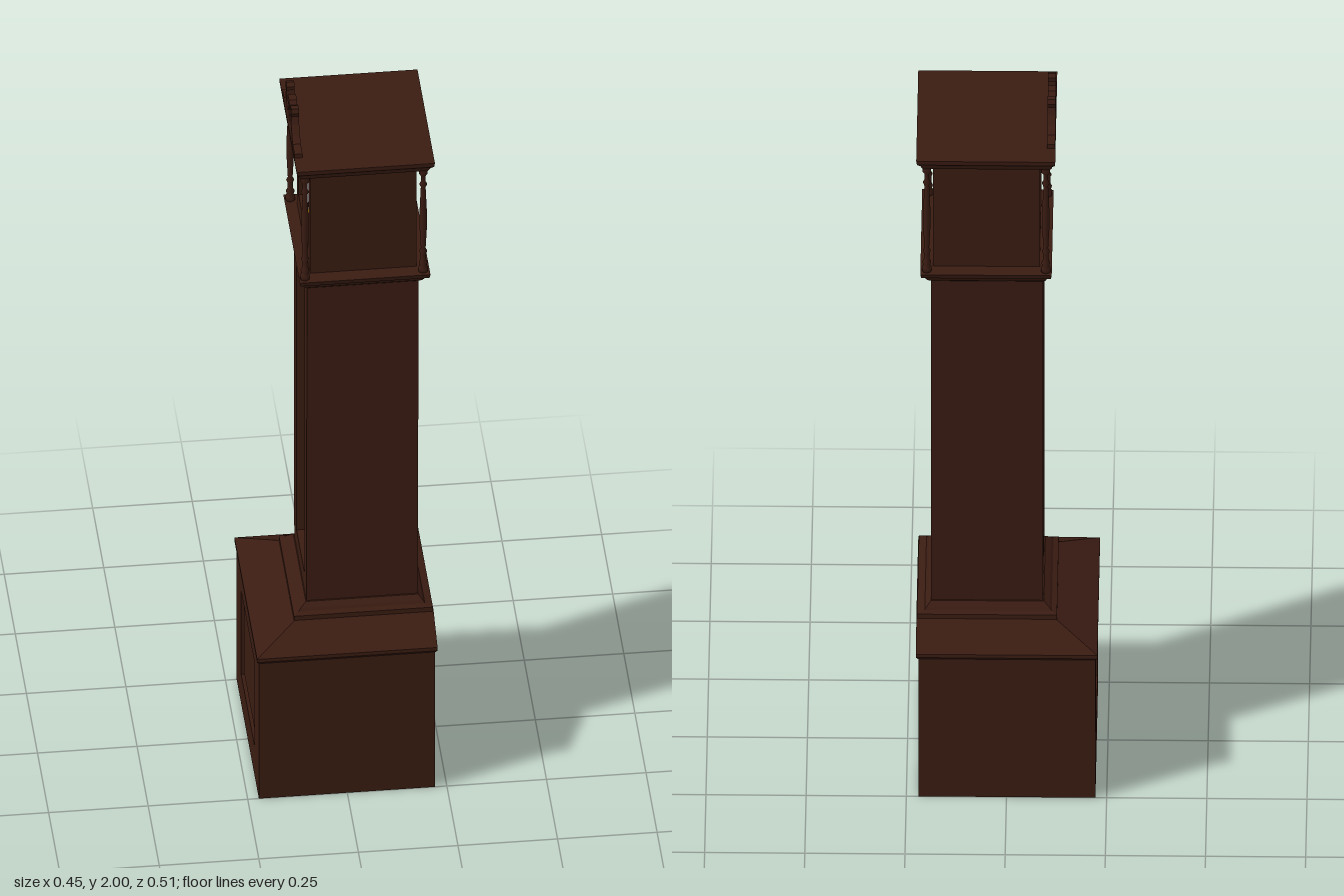
import * as THREE from 'three';

const wood = new THREE.MeshStandardMaterial({ color: 0x3a1c12 });
const darkWood = new THREE.MeshStandardMaterial({ color: 0x2e150d });
const brass = new THREE.MeshStandardMaterial({ color: 0xe8b010 });
const enamel = new THREE.MeshStandardMaterial({ color: 0xe8e8e8 });

function add(parent, name, geometry, material, x = 0, y = 0, z = 0) {
  const mesh = new THREE.Mesh(geometry, material);
  mesh.name = name;
  mesh.position.set(x, y, z);
  parent.add(mesh);
  return mesh;
}

// Stack of rectangles [y, x0, x1, z0, z1] joined into a closed solid
function loft(sections) {
  const rings = sections.map(([y, x0, x1, z0, z1]) =>
    [[x0, y, z1], [x1, y, z1], [x1, y, z0], [x0, y, z0]]);
  const pos = [];
  const quad = (a, b, c, d) => pos.push(...a, ...b, ...c, ...a, ...c, ...d);
  for (let i = 0; i + 1 < rings.length; i++) {
    const lo = rings[i], hi = rings[i + 1];
    for (let k = 0; k < 4; k++) {
      const n = (k + 1) % 4;
      quad(lo[k], lo[n], hi[n], hi[k]);
    }
  }
  const top = rings[rings.length - 1], bottom = rings[0];
  quad(top[0], top[1], top[2], top[3]);
  quad(bottom[3], bottom[2], bottom[1], bottom[0]);
  const g = new THREE.BufferGeometry();
  g.setAttribute('position', new THREE.Float32BufferAttribute(pos, 3));
  g.computeVertexNormals();
  return g;
}

// Solid that is symmetric in z: rows are [y, x0, x1, halfDepth]
const molding = rows => loft(rows.map(([y, x0, x1, h]) => [y, x0, x1, -h, h]));

// Outline in the (z, y) plane, given thickness along x starting at x0
function slab(shape, x0, depth) {
  return new THREE.ExtrudeGeometry(shape, { depth, bevelEnabled: false, curveSegments: 10 })
    .rotateY(-Math.PI / 2).translate(x0 + depth, 0, 0);
}

const poly = pts => pts.map(p => new THREE.Vector2(...p));
const rect = (h, y0, y1) => poly([[-h, y0], [h, y0], [h, y1], [-h, y1]]);

// Board with a rectangular opening
function frame(outline, hole, x0, depth) {
  const s = new THREE.Shape(outline);
  s.holes.push(new THREE.Path([...hole].reverse()));
  return slab(s, x0, depth);
}

// Hollow case, open at the front: framed front, two sides and a back
function openCase(parent, name, y0, y1, x0, x1, h0, h1, hole) {
  const g = new THREE.Group();
  g.name = name;
  parent.add(g);
  const t = 0.02;
  add(g, 'frontFrame', frame(poly([[-h0, y0], [h0, y0], [h1, y1], [-h1, y1]]), hole, x0, t), wood);
  for (const s of [-1, 1]) {
    const side = (y, h) => [y, x0 + t, x1, Math.min(s * h, s * (h - t)), Math.max(s * h, s * (h - t))];
    add(g, 'sidePanel', loft([side(y0, h0), side(y1, h1)]), wood);
  }
  add(g, 'backPanel', molding([[y0, x1 - t, x1, h0 - t], [y1, x1 - t, x1, h1 - t]]), wood);
}

function pedimentShape() {
  const half = [
    [0.137, 1.9], [0.137, 1.914], [0.098, 1.916], [0.08, 1.93], [0.064, 1.952], [0.058, 1.972],
    [0.064, 1.985], [0.06, 1.997], [0.049, 2.0], [0.04, 1.992], [0.041, 1.981], [0.048, 1.977],
    [0.046, 1.958], [0.036, 1.942], [0.022, 1.936], [0.012, 1.942], [0.008, 1.958],
    [0.017, 1.97], [0.021, 1.981], [0.012, 1.99]];
  return new THREE.Shape(poly([...half, ...half.map(([z, y]) => [-z, y]).reverse()]));
}

export function createModel() {
  const clock = new THREE.Group();
  clock.name = 'longcaseClock';

  // Plinth: body, framed front panel, lip and sloped shoulder
  add(clock, 'plinth', molding([[0, -0.208, 0.22, 0.25], [0.425, -0.208, 0.22, 0.25]]), wood);
  add(clock, 'plinthFrame', frame(rect(0.25, 0, 0.425), rect(0.15, 0.09, 0.35), -0.222, 0.014), wood);
  add(clock, 'plinthPanel', molding([[0.105, -0.216, -0.2, 0.135], [0.335, -0.216, -0.2, 0.135]]), wood);
  add(clock, 'plinthShoulder', molding([
    [0.42, -0.222, 0.222, 0.25], [0.428, -0.227, 0.226, 0.256], [0.438, -0.227, 0.226, 0.256],
    [0.487, -0.12, 0.226, 0.165]]), wood);
  add(clock, 'trunkFoot', molding([
    [0.487, -0.125, 0.224, 0.17], [0.5, -0.125, 0.224, 0.17], [0.505, -0.112, 0.205, 0.158],
    [0.512, -0.106, 0.2, 0.153], [0.522, -0.092, 0.19, 0.141]]), wood);

  // Trunk, slightly wider at the top, with a tall window
  openCase(clock, 'trunk', 0.515, 1.51, -0.09, 0.19, 0.137, 0.149, rect(0.088, 0.575, 1.465));

  // Pendulum
  const pendulum = new THREE.Group();
  pendulum.name = 'pendulum';
  clock.add(pendulum);
  add(pendulum, 'rod', new THREE.CylinderGeometry(0.006, 0.006, 0.66, 10), brass, -0.055, 1.18, 0);
  const bob = new THREE.SphereGeometry(0.048, 28, 16).scale(0.25, 1, 1);
  add(pendulum, 'bob', bob, brass, -0.055, 0.845, 0);

  // Ledge below the hood
  add(clock, 'hoodLedge', molding([
    [1.505, -0.09, 0.19, 0.15], [1.512, -0.096, 0.198, 0.158], [1.525, -0.1, 0.205, 0.167],
    [1.535, -0.11, 0.214, 0.182], [1.548, -0.112, 0.216, 0.186]]), wood);

  // Hood with dial window
  openCase(clock, 'hood', 1.548, 1.872, -0.082, 0.185, 0.147, 0.147, rect(0.112, 1.6, 1.855));

  // Dial drum, face, bezel, hour marks and hands
  const dial = new THREE.Group();
  dial.name = 'dial';
  dial.position.set(-0.068, 1.737, 0);
  clock.add(dial);
  add(dial, 'drum', new THREE.CylinderGeometry(0.11, 0.11, 0.1, 48).rotateZ(Math.PI / 2), brass, 0.052);
  add(dial, 'face', new THREE.CylinderGeometry(0.1, 0.1, 0.004, 48).rotateZ(Math.PI / 2), enamel);
  add(dial, 'bezel', new THREE.TorusGeometry(0.105, 0.006, 8, 48).rotateY(Math.PI / 2), brass);
  for (let i = 0; i < 12; i++) {
    const a = i * Math.PI / 6;
    const mark = add(dial, 'hourMark', new THREE.BoxGeometry(0.002, 0.013, 0.004), darkWood,
      -0.002, 0.085 * Math.cos(a), 0.085 * Math.sin(a));
    mark.rotation.x = a;
  }
  for (const [name, length, angle] of [['hourHand', 0.045, -0.9], ['minuteHand', 0.068, 0.5]]) {
    const hand = new THREE.BoxGeometry(0.002, length, 0.005).translate(0, length / 2 - 0.008, 0);
    add(dial, name, hand, brass, -0.004).rotation.x = angle;
  }

  // Turned corner columns
  const profile = [
    [0, 0], [0.012, 0], [0.012, 0.012], [0.008, 0.018], [0.011, 0.027], [0.007, 0.036],
    [0.007, 0.055], [0.01, 0.062], [0.006, 0.07], [0.009, 0.13], [0.009, 0.19], [0.006, 0.262],
    [0.01, 0.27], [0.006, 0.278], [0.006, 0.296], [0.011, 0.304], [0.012, 0.325], [0, 0.325]];
  const column = new THREE.LatheGeometry(poly(profile), 14);
  for (const x of [-0.097, 0.2]) {
    for (const z of [-0.166, 0.166]) add(clock, 'column', column, wood, x, 1.547, z);
  }

  // Cornice and scrolled pediment
  add(clock, 'cornice', molding([
    [1.866, -0.108, 0.21, 0.178], [1.874, -0.112, 0.213, 0.184], [1.88, -0.113, 0.216, 0.186],
    [1.89, -0.12, 0.224, 0.196], [1.902, -0.121, 0.226, 0.197]]), wood);
  add(clock, 'pediment', slab(pedimentShape(), -0.12, 0.02), wood);

  return clock;
}
